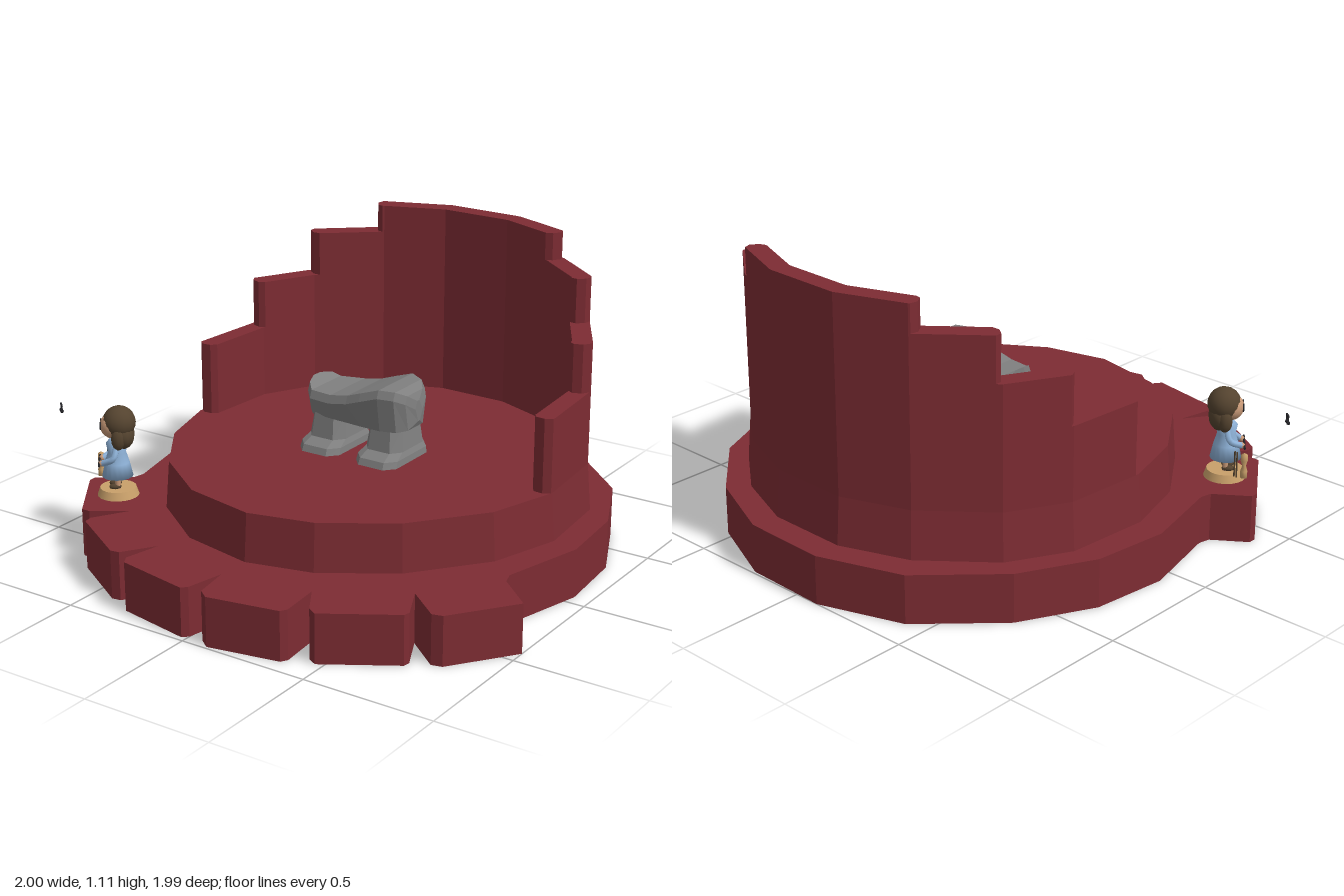
import * as THREE from 'three';

const RED = 0x7d2c33, STONE = 0x7f7f7f, TAN = 0xc9a06a, SKIN = 0xc99a78, HAIR = 0x54432f, BLUE = 0x8fb3d9, DARK = 0x26262a;
const material = (color, flat) => new THREE.MeshStandardMaterial({ color, flatShading: flat });

function add(parent, name, geometry, color, pos = [0, 0, 0], flat = false) {
  const mesh = new THREE.Mesh(geometry, material(color, flat));
  mesh.name = name;
  mesh.position.set(...pos);
  parent.add(mesh);
  return mesh;
}

// Closed solid through equal-length rings, counterclockwise seen from the last ring
function loft(rings) {
  const n = rings[0].length, index = [];
  rings.slice(1).forEach((_, k) => {
    for (let i = 0; i < n; i++) {
      const j = (i + 1) % n, a = k * n + i, b = k * n + j;
      index.push(a, b, b + n, a, b + n, a + n);
    }
  });
  const last = (rings.length - 1) * n;
  for (let i = 1; i < n - 1; i++) index.push(0, i + 1, i, last, last + i, last + i + 1);
  const g = new THREE.BufferGeometry();
  g.setAttribute('position', new THREE.Float32BufferAttribute(rings.flat(2), 3));
  g.setIndex(index);
  const flat = g.toNonIndexed();
  flat.computeVertexNormals();
  return flat;
}

// Upright prism from an x,z outline
function prism(outline, height) {
  const shape = new THREE.Shape(outline.map(([x, z]) => new THREE.Vector2(x, -z)));
  return new THREE.ExtrudeGeometry(shape, { depth: height, bevelEnabled: false }).rotateX(-Math.PI / 2);
}

const baseOutline = [
  [-0.10, -1], [0.23, -0.99], [0.53, -0.86], [0.78, -0.63], [0.91, -0.34], [0.935, -0.05], [0.85, 0.27], [0.865, 0.32],
  [1, 0.44], [0.83, 0.67], [0.79, 0.68], [0.66, 0.575],
  [0.725, 0.71], [0.72, 0.735], [0.47, 0.89], [0.435, 0.87], [0.365, 0.755],
  [0.38, 0.915], [0.365, 0.94], [0.095, 0.99], [0.055, 0.96], [0.03, 0.815],
  [0, 0.96], [-0.02, 0.98], [-0.31, 0.925], [-0.33, 0.89], [-0.30, 0.75],
  [-0.38, 0.87], [-0.415, 0.875], [-0.66, 0.725], [-0.665, 0.69], [-0.59, 0.565],
  [-0.71, 0.645], [-0.745, 0.645], [-0.91, 0.41], [-0.91, 0.38], [-0.79, 0.295],
  [-0.78, 0.25], [-0.855, -0.07], [-0.82, -0.36], [-0.68, -0.635], [-0.42, -0.89],
];
const drumOutline = [
  [0.035, 0.69], [0.285, 0.63], [0.54, 0.465], [0.75, 0.2], [0.835, -0.07], [0.805, -0.4], [0.67, -0.63], [0.47, -0.79],
  [0.215, -0.89], [-0.10, -0.895], [-0.36, -0.8], [-0.60, -0.6], [-0.72, -0.375], [-0.745, -0.05], [-0.67, 0.21],
  [-0.50, 0.455], [-0.255, 0.63],
];
const CX = 0.045, CZ = -0.1;
const drumTop = drumOutline.map(([x, z]) => [CX + (x - CX) * 0.982, CZ + (z - CZ) * 0.982]);

// Angle around the drum measured from the back, and wall radius at an angle
const angleOf = ([x, z]) => Math.atan2(x - CX, CZ - z);
function radiusAt(t) {
  const pts = [...drumTop].sort((a, b) => angleOf(a) - angleOf(b));
  const k = pts.findIndex((p) => angleOf(p) > t);
  const a = pts.at(k - 1), b = pts[k];
  const ex = b[0] - a[0], ez = b[1] - a[1];
  return ((a[0] - CX) * ez - (a[1] - CZ) * ex) / (Math.sin(t) * ez + Math.cos(t) * ex);
}

// Arc of wall reaching the same angle to both sides, with chamfered ends
function wallBand(degrees, height) {
  const end = THREE.MathUtils.degToRad(degrees), near = end - 0.025;
  const at = (t, inset) => {
    const r = radiusAt(t) - inset;
    return [CX + Math.sin(t) * r, CZ - Math.cos(t) * r];
  };
  const angles = [-near, ...drumTop.map(angleOf).filter((t) => Math.abs(t) < near), near].sort((a, b) => a - b);
  const outline = [
    at(-end, 0.02), ...angles.map((t) => at(t, 0)), at(end, 0.02),
    at(end, 0.055), ...angles.reverse().map((t) => at(t, 0.075)), at(-end, 0.055),
  ];
  return prism(outline.reverse(), height);
}

function buildTable() {
  const table = new THREE.Group();
  table.name = 'stoneTable';
  // Slab sections along x: x, back z, front z, underside, top
  const sections = [
    [-0.19, -0.12, -0.04, 0.52, 0.615], [-0.175, -0.175, 0.005, 0.495, 0.605], [-0.15, -0.2, 0.03, 0.49, 0.585],
    [-0.06, -0.225, 0.04, 0.49, 0.585], [0.02, -0.225, 0.045, 0.49, 0.6], [0.08, -0.222, 0.05, 0.49, 0.622],
    [0.16, -0.215, 0.052, 0.49, 0.65], [0.22, -0.18, 0.035, 0.49, 0.648], [0.25, -0.14, 0, 0.495, 0.63],
    [0.262, -0.1, -0.05, 0.52, 0.6],
  ];
  add(table, 'tableSlab', loft(sections.map(([x, b, f, lo, hi]) => [
    [x, lo, f - 0.02], [x, lo, b + 0.02], [x, hi - 0.04, b], [x, hi, b + 0.025], [x, hi, f - 0.012], [x, hi - 0.03, f],
  ])), STONE, [0, 0, 0], true);

  // Legs with flared feet; levels: y, half width, back z, front z
  const levels = [[0.365, 0.088, -0.2, 0.085], [0.39, 0.086, -0.2, 0.075], [0.41, 0.078, -0.19, 0.03], [0.5, 0.068, -0.18, 0.015]];
  for (const [name, cx] of [['rightLeg', -0.095], ['leftLeg', 0.155]]) {
    add(table, name, loft(levels.map(([y, w, b, f]) => [
      [cx - w * 0.6, y, f], [cx + w * 0.6, y, f], [cx + w, y, f - 0.04], [cx + w, y, b + 0.04],
      [cx + w * 0.6, y, b], [cx - w * 0.6, y, b], [cx - w, y, b + 0.04], [cx - w, y, f - 0.04],
    ])), STONE, [0, 0, 0], true);
  }
  return table;
}

function buildFigure() {
  const figure = new THREE.Group();
  figure.name = 'figurine';
  add(figure, 'standDisc', new THREE.CylinderGeometry(0.068, 0.078, 0.03, 20), TAN, [0, 0.015, 0]);
  const dress = [[0, 0.075], [0.058, 0.075], [0.046, 0.13], [0.034, 0.17], [0.04, 0.205], [0.022, 0.225], [0, 0.23]];
  add(figure, 'dress', new THREE.LatheGeometry(dress.map((p) => new THREE.Vector2(...p)), 16), BLUE);
  for (const s of [-1, 1]) {
    add(figure, 'leg', new THREE.CylinderGeometry(0.011, 0.01, 0.06, 8), SKIN, [s * 0.02, 0.055, 0]);
    add(figure, 'shoe', new THREE.SphereGeometry(0.016, 10, 6), HAIR, [s * 0.02, 0.038, 0.01]).scale.set(0.9, 0.7, 1.5);
    const arm = new THREE.CatmullRomCurve3([[0.036, 0.2, 0], [0.052, 0.16, 0.012], [0.03, 0.135, 0.055]]
      .map(([x, y, z]) => new THREE.Vector3(s * x, y, z)));
    add(figure, 'sleeve', new THREE.TubeGeometry(arm, 8, 0.012, 7), BLUE);
    add(figure, 'hand', new THREE.SphereGeometry(0.012, 8, 6), SKIN, [s * 0.03, 0.135, 0.057]);
    add(figure, 'spectacleLens', new THREE.TorusGeometry(0.013, 0.003, 5, 12), DARK, [s * 0.019, 0.28, 0.056]);
    add(figure, 'hairLock', new THREE.SphereGeometry(0.03, 10, 8), HAIR, [s * 0.042, 0.235, -0.008]).scale.set(0.8, 1.5, 0.9);
  }
  add(figure, 'face', new THREE.SphereGeometry(0.05, 16, 12), SKIN, [0, 0.275, 0.01]);
  add(figure, 'hairCap', new THREE.SphereGeometry(0.062, 16, 12), HAIR, [0, 0.287, -0.012]);
  add(figure, 'hairBack', new THREE.SphereGeometry(0.058, 14, 10), HAIR, [0, 0.24, -0.025]).scale.set(1, 1, 0.75);
  add(figure, 'heldBar', new THREE.CylinderGeometry(0.004, 0.004, 0.12, 6).rotateZ(Math.PI / 2), DARK, [0, 0.135, 0.066]);
  figure.position.set(-0.73, 0.185, 0.455);
  figure.rotation.y = -0.9;
  return figure;
}

export function createModel() {
  const model = new THREE.Group();
  model.name = 'roundStage';

  add(model, 'notchedBase', prism([...baseOutline].reverse(), 0.185), RED, [0, 0, 0], true);
  add(model, 'raisedFloor', loft([
    drumOutline.map(([x, z]) => [x, 0.185, z]), drumTop.map(([x, z]) => [x, 0.365, z]),
  ]), RED, [0, 0, 0], true);

  // Stepped back wall: reach in degrees, bottom, top
  const bands = [[94, 0.365, 0.645], [71, 0.645, 0.83], [52, 0.83, 1], [32, 1, 1.105]];
  for (const [reach, lo, hi] of bands) add(model, 'wallStep', wallBand(reach, hi - lo), RED, [0, lo, 0], true);

  model.add(buildTable(), buildFigure());

  // Small peg and rods beside the figurine
  const peg = [[0, 0], [0.013, 0.004], [0.013, 0.03], [0.007, 0.05], [0.013, 0.07], [0.012, 0.093], [0, 0.1]];
  add(model, 'peg', new THREE.LatheGeometry(peg.map((p) => new THREE.Vector2(...p)), 8), TAN, [-0.84, 0.22, 0.42]);
  for (const x of [-0.822, -0.812]) {
    add(model, 'rod', new THREE.CylinderGeometry(0.003, 0.003, 0.1, 6), HAIR, [x, 0.275, 0.4]);
  }

  // Tiny floating music note
  const note = new THREE.Group();
  note.name = 'floatingNote';
  for (const s of [-1, 1]) {
    add(note, 'noteHead', new THREE.SphereGeometry(0.007, 8, 6), DARK, [s * 0.009 - 0.002, -0.01, 0]);
    add(note, 'noteStem', new THREE.BoxGeometry(0.004, 0.026, 0.005), DARK, [s * 0.01 + 0.002, 0.002, 0]);
  }
  add(note, 'noteBeam', new THREE.BoxGeometry(0.026, 0.007, 0.006), DARK, [0.001, 0.014, 0]);
  note.position.set(-0.982, 0.48, 0.47);
  note.rotation.y = -0.7;
  model.add(note);

  return model;
}
